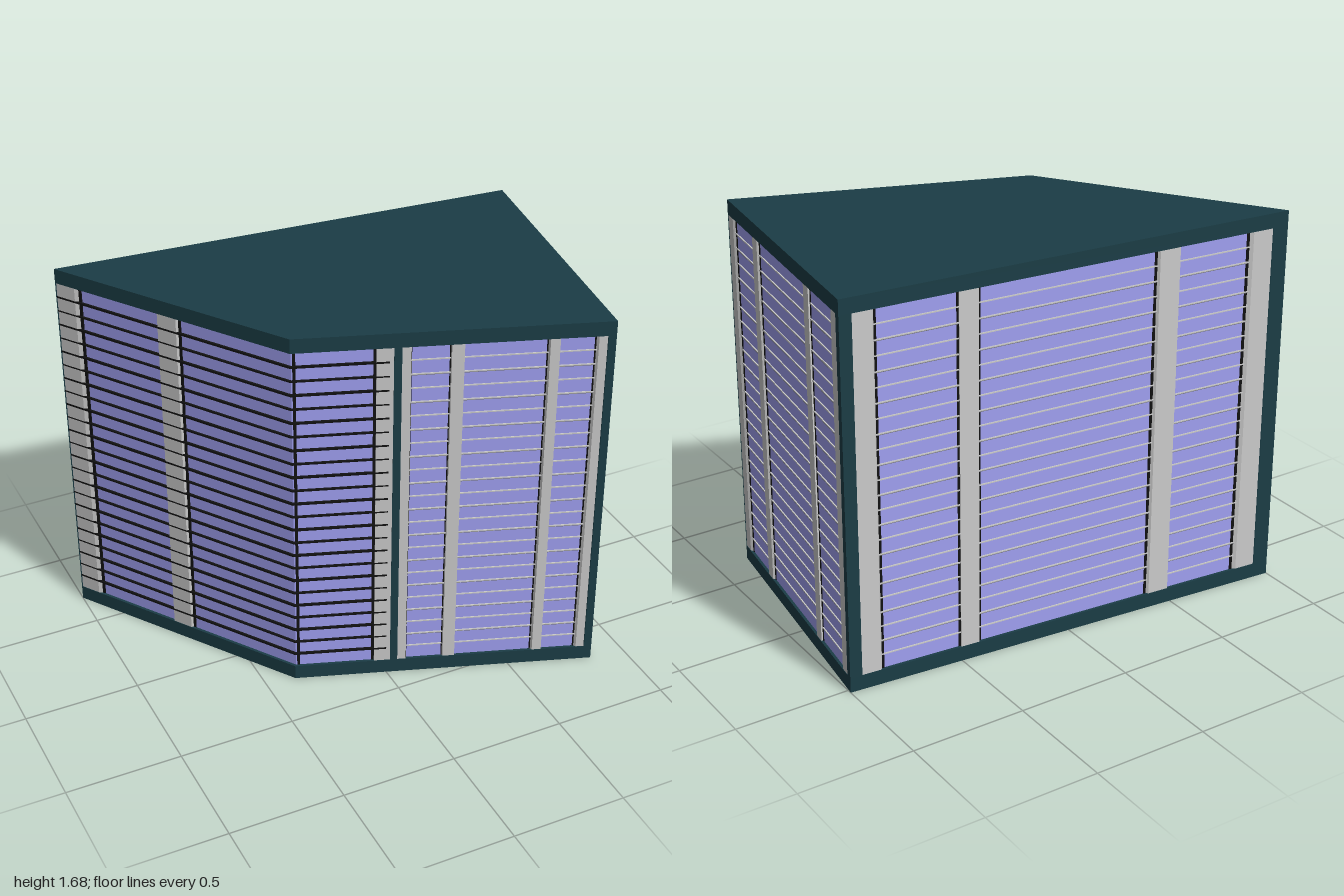
import * as THREE from 'three';
import { mergeGeometries } from 'three/addons/utils/BufferGeometryUtils.js';

const HEIGHT = 1.685, BAND = 0.065, FLOORS = 24;
const STEP = (HEIGHT - 2 * BAND) / FLOORS;
const GLASS = 0.012; // recess of the glazing

// Plan corners [x, z], running along the front from left to right, then round the back
const PLAN = [[-1, -0.685], [-0.37, 0.25], [0.015, 0.386], [0.845, 0.68], [1, -0.52]];

// One entry per wall; column and post spans are fractions of its length
const WALLS = [
  { name: 'sideWall', columns: [[0, 0.08], [0.444, 0.524]], posts: [], gap: 0.012, dark: true },
  { name: 'cornerWall', columns: [[0.83, 1]], posts: [], gap: 0.012, dark: true, startGap: true },
  { name: 'frontWall', columns: [[0.036, 0.078], [0.26, 0.318], [0.705, 0.75], [0.925, 0.964]],
    posts: [[0, 0.036], [0.964, 1]], gap: 0.004 },
  { name: 'leftWall', columns: [[0, 0.042], [0.233, 0.275], [0.7, 0.742], [0.933, 0.975]],
    posts: [[0.975, 1]], gap: 0.01 },
  { name: 'backWall', columns: [[0.026, 0.068], [0.248, 0.29], [0.697, 0.744], [0.92, 0.966]],
    posts: [[0, 0.026], [0.966, 1]], gap: 0.01 },
];

// Plan outline moved inwards by d, with mitred corners
function inset(d) {
  const n = PLAN.length;
  const normal = (i) => {
    const [x0, z0] = PLAN[i % n], [x1, z1] = PLAN[(i + 1) % n];
    const len = Math.hypot(x1 - x0, z1 - z0);
    return [(z1 - z0) / len, -(x1 - x0) / len];
  };
  return PLAN.map(([x, z], i) => {
    const a = normal(i + n - 1), b = normal(i);
    const k = d / (1 + a[0] * b[0] + a[1] * b[1]);
    return [x + (a[0] + b[0]) * k, z + (a[1] + b[1]) * k];
  });
}

// Upright prism over a plan polygon
function prism(points, y0, y1) {
  const shape = new THREE.Shape(points.map(([x, z]) => new THREE.Vector2(x, -z)));
  return new THREE.ExtrudeGeometry(shape, { depth: y1 - y0, bevelEnabled: false })
    .rotateX(-Math.PI / 2).translate(0, y0, 0);
}

// Piece of wall i between fractions a and b, from the outer to the inner recess
function wallPiece(i, a, b, y0, y1, outer, inner = 0.02) {
  const j = (i + 1) % PLAN.length;
  const at = (poly, t) => [0, 1].map((k) => poly[i][k] + (poly[j][k] - poly[i][k]) * t);
  const o = inset(outer), n = inset(inner);
  return prism([at(o, a), at(o, b), at(n, b), at(n, a)], y0, y1);
}

export function createModel() {
  const model = new THREE.Group();
  model.name = 'building';
  const mat = (color) => new THREE.MeshStandardMaterial({ color });
  const teal = mat(0x1b3d46), glass = mat(0xa0a0f2), grey = mat(0xcccccc), black = mat(0x111111);
  const edge = mat(0x77777c);

  const add = (parent, name, geometries, material) => {
    if (!geometries.length) return;
    const mesh = new THREE.Mesh(mergeGeometries(geometries), material);
    mesh.name = name;
    parent.add(mesh);
  };

  const low = BAND, high = HEIGHT - BAND;
  add(model, 'baseSlab', [prism(PLAN, 0, low)], teal);
  add(model, 'roofSlab', [prism(PLAN, high, HEIGHT)], teal);
  add(model, 'glazing', [prism(inset(GLASS), low, high)], glass);

  WALLS.forEach((wall, i) => {
    const group = new THREE.Group();
    group.name = wall.name;
    model.add(group);
    const [p, q] = [PLAN[i], PLAN[(i + 1) % PLAN.length]];
    const gap = wall.gap / Math.hypot(q[0] - p[0], q[1] - p[1]);

    add(group, 'cornerPosts', wall.posts.map(([a, b]) => wallPiece(i, a, b, low, high, 0)), teal);
    add(group, 'columns', wall.columns.map(([a, b]) => wallPiece(i, a, b, low, high, 0.002)), grey);

    // Shadow gaps on both sides of each column
    const gaps = [];
    for (const [a, b] of wall.columns) {
      if (a > 0.1) gaps.push([a - gap, a]);
      if (b < 0.9) gaps.push([b, b + gap]);
    }
    if (wall.startGap) gaps.push([0.015, 0.015 + gap]);
    add(group, 'shadowGaps', gaps.map(([a, b]) => wallPiece(i, a, b, low, high, GLASS - 0.002)), black);

    // Floor edges: across the whole wall, or only between the columns
    const bays = wall.dark ? [[0, wall.columns.at(-1)[1] < 0.9 ? 1 : 0.96]]
      : wall.columns.slice(1).map(([a], k) => [wall.columns[k][1], a]);
    const ledges = [], shadows = [];
    for (let f = 1; f < FLOORS; f++) {
      const y = low + f * STEP;
      for (const [a, b] of bays) {
        if (wall.dark) {
          const h = f % 2 ? 0.004 : 0.003;
          shadows.push(wallPiece(i, a, b, y - h, y + h, 0.001));
        } else {
          ledges.push(wallPiece(i, a, b, y - 0.002, y + 0.003, 0.007));
          if (f % 2 === 0) shadows.push(wallPiece(i, a, b, y - 0.005, y - 0.002, 0.008));
        }
      }
    }
    add(group, 'floorEdges', ledges, grey);
    add(group, 'floorShadows', shadows, wall.dark ? black : edge);
  });
  return model;
}
